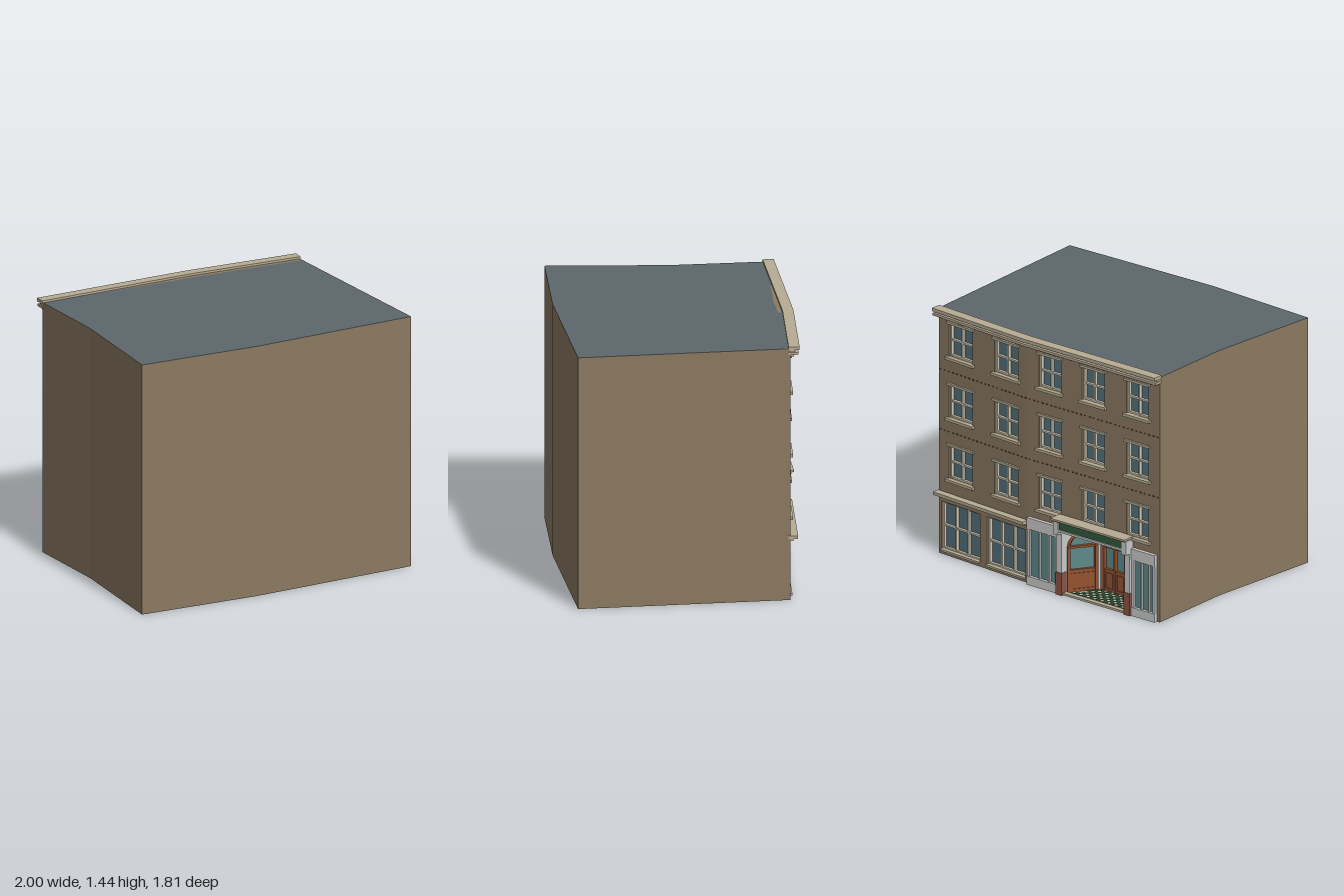
import * as THREE from 'three';

const mat = (color) => new THREE.MeshStandardMaterial({ color, side: THREE.DoubleSide });
const M = {
  brick: mat(0x8c7a62), roof: mat(0x5c676c), stone: mat(0xb8ad94), cream: mat(0xd2c9b4), grey: mat(0xcccccc),
  glass: mat(0x54727c), teal: mat(0x5f8a8a), wood: mat(0x96532f), red: mat(0x8a5546), green: mat(0x2f5a3c), dark: mat(0x4a4036),
};

function add(parent, name, geo, material, x = 0, y = 0, z = 0) {
  const m = new THREE.Mesh(geo, material);
  m.name = name;
  m.position.set(x, y, z);
  parent.add(m);
  return m;
}
// box given by its limits
const slab = (p, name, m, x0, x1, y0, y1, z0, z1) =>
  add(p, name, new THREE.BoxGeometry(x1 - x0, y1 - y0, z1 - z0), m, (x0 + x1) / 2, (y0 + y1) / 2, (z0 + z1) / 2);

// group running from p to q in plan: local x along the wall, local z outward
function wallFrame(parent, name, p, q) {
  const g = new THREE.Group();
  g.name = name;
  g.position.set(p[0], 0, p[1]);
  g.rotation.y = Math.atan2(-(q[1] - p[1]), q[0] - p[0]);
  parent.add(g);
  return [g, Math.hypot(q[0] - p[0], q[1] - p[1])];
}
const poly = (pts) => new THREE.Shape(pts.map(([x, y]) => new THREE.Vector2(x, y)));
const rect = (x0, x1, y0, y1) => poly([[x0, y0], [x1, y0], [x1, y1], [x0, y1]]);
const extrude = (shape, depth) =>
  new THREE.ExtrudeGeometry(shape, { depth, bevelEnabled: false, curveSegments: 12 }).translate(0, 0, -depth);

const H = 1.425, T = 0.035;
const D = [0.97, -0.17], E = [0.39, -0.48], F = [-0.45, -0.86];
const REST = [F, [-0.66, -0.39], [-1, 0.2], [-0.38, 0.52], [-0.12, 0.63], [0.52, 0.9], D];
const ROWS = [[0.435, 0.657], [0.79, 1.01], [1.145, 1.367]];

// glazing bars and glass inside an opening
function glazing(g, x0, x1, y0, y1, cols, rows) {
  slab(g, 'glass', M.glass, x0, x1, y0, y1, -0.034, -0.03);
  const b = 0.005;
  for (let i = 0; i <= cols; i++) {
    const x = x0 + b + (x1 - x0 - 2 * b) * i / cols;
    slab(g, 'glazingBar', M.cream, x - b, x + b, y0, y1, -0.03, -0.012);
  }
  for (let j = 0; j <= rows; j++) {
    const y = y0 + b + (y1 - y0 - 2 * b) * j / rows;
    slab(g, 'glazingBar', M.cream, x0, x1, y - b, y + b, -0.03, -0.014);
  }
}

// sash window with lintel and sill; returns the opening
function sash(parent, c, w, [y0, y1]) {
  const g = new THREE.Group();
  g.name = 'window';
  parent.add(g);
  const o = [c - w / 2, c + w / 2, y0 + 0.016, y1 - 0.014];
  glazing(g, ...o, 2, 2);
  slab(g, 'sill', M.stone, o[0] - 0.015, o[1] + 0.015, y0, y0 + 0.016, -0.02, 0.018);
  slab(g, 'lintel', M.stone, o[0] - 0.01, o[1] + 0.01, y1 - 0.014, y1, -0.02, 0.012);
  return rect(...o);
}

// cornice and brick dentil courses shared by both facade parts
function courses(g, L) {
  slab(g, 'topCornice', M.stone, -0.005, L + 0.005, 1.418, 1.437, -0.01, 0.05);
  slab(g, 'lowerCornice', M.stone, -0.005, L + 0.005, 1.392, 1.406, -0.01, 0.044);
  slab(g, 'cornicePanel', M.stone, 0, L, 1.406, 1.418, -0.01, 0.025);
  const n = Math.round(L / 0.03);
  for (let i = 0; i < n; i++) {
    const x = (i + 0.5) * L / n;
    slab(g, 'dentil', M.stone, x - 0.007, x + 0.007, 1.378, 1.392, 0, 0.02);
    for (const y of [0.72, 1.07]) slab(g, 'brickDentil', M.dark, x - 0.006, x + 0.006, y, y + 0.006, 0, 0.003);
  }
}

// narrow glazed shopfront panel
function sidePanel(parent, x0, x1) {
  const g = new THREE.Group();
  g.name = 'sideShopfront';
  parent.add(g);
  slab(g, 'panelGlass', M.teal, x0, x1, 0.05, 0.33, 0, 0.004);
  slab(g, 'panelHeader', M.grey, x0, x1, 0.325, 0.39, 0, 0.022);
  slab(g, 'panelBase', M.grey, x0, x1, 0, 0.05, 0, 0.022);
  for (const [x, w] of [[x0, 0.018], [x1 - 0.018, 0.018], [x0 * 0.62 + x1 * 0.38, 0.008], [x0 * 0.3 + x1 * 0.7, 0.008]])
    slab(g, 'panelStile', M.grey, x, x + w, 0.04, 0.33, 0, 0.018);
}

// arched timber screen for the porch
function archScreen(g, L, leaves) {
  const c = L / 2, r = L / 2 - 0.024, spring = 0.345 - r;
  const s = rect(0, L, 0, 0.39);
  const hole = new THREE.Path();
  hole.moveTo(c - r, 0.13);
  hole.lineTo(c + r, 0.13);
  hole.lineTo(c + r, spring);
  hole.absarc(c, spring, r, 0, Math.PI, false);
  hole.closePath();
  s.holes.push(hole);
  add(g, 'archSurround', extrude(s, 0.015), M.grey);
  slab(g, 'doorGlass', M.teal, 0.01, L - 0.01, 0.12, 0.36, -0.014, -0.01);
  const arch = add(g, 'archMoulding', new THREE.TorusGeometry(r, 0.009, 4, 20, Math.PI), M.wood, c, spring, 0.003);
  arch.scale.z = 0.8;
  for (const x of [c - r, c + r]) slab(g, 'doorPost', M.wood, x - 0.009, x + 0.009, 0, spring, -0.01, 0.01);
  slab(g, 'transom', M.wood, c - r, c + r, spring - 0.006, spring + 0.006, -0.01, 0.008);
  slab(g, 'doorPanel', M.wood, c - r, c + r, 0, 0.135, -0.01, 0.005);
  const w = 2 * r / leaves;
  for (let i = 0; i < leaves; i++) {
    const x = c - r + i * w;
    if (i) slab(g, 'meetingStile', M.wood, x - 0.006, x + 0.006, 0, spring, -0.01, 0.009);
    for (const [a, b] of [[x + 0.012, x + 0.018], [x + w - 0.018, x + w - 0.012]])
      slab(g, 'panelBead', M.red, a, b, 0.025, 0.115, 0, 0.009);
    for (const y of [0.02, 0.11]) slab(g, 'panelBead', M.red, x + 0.012, x + w - 0.012, y, y + 0.006, 0, 0.009);
  }
}

// recessed entrance with tiled floor, piers and canopy
function entrance(parent) {
  const g = new THREE.Group();
  g.name = 'entrance';
  parent.add(g);
  const plan = [[0.255, 0], [0.37, -0.17], [0.575, -0.17], [0.70, 0]];
  for (let i = 0; i < 3; i++) {
    const [f, L] = wallFrame(g, 'porchScreen', plan[i], plan[i + 1]);
    archScreen(f, L, i === 1 ? 2 : 1);
  }
  const flat = new THREE.ShapeGeometry(poly(plan.map(([x, z]) => [x, -z]))).rotateX(-Math.PI / 2);
  add(g, 'porchFloor', flat, M.cream, 0, 0.006, 0);
  add(g, 'porchCeiling', flat, M.grey, 0, 0.388, 0);
  // checkered tiles that fit inside the tapered floor
  const t = 0.0245;
  for (let j = 0; j < 7; j++) for (let i = 0; i < 18; i++) {
    const x = 0.2575 + (i + 0.5) * t, d = (j + 0.5) * t;
    const inside = x - t / 2 > 0.25 + 0.676 * d && x + t / 2 < 0.705 - 0.735 * d;
    if (inside && (i + j) % 2) slab(g, 'floorTile', M.green, x - t / 2, x + t / 2, 0.003, 0.009, -d - t / 2, -d + t / 2);
  }
  slab(g, 'threshold', M.stone, 0.255, 0.70, 0, 0.012, -0.01, 0.02);
  for (const x of [0.225, 0.70]) {
    slab(g, 'pier', M.grey, x, x + 0.035, 0.13, 0.39, -0.03, 0.03);
    slab(g, 'pierBase', M.red, x - 0.002, x + 0.037, 0, 0.13, -0.03, 0.034);
    slab(g, 'bracket', M.grey, x, x + 0.035, 0.36, 0.44, 0, 0.06);
  }
  slab(g, 'signBand', M.green, 0.26, 0.70, 0.39, 0.435, 0, 0.05);
  slab(g, 'signMoulding', M.grey, 0.25, 0.71, 0.378, 0.39, -0.02, 0.058);
  slab(g, 'canopyTop', M.grey, 0.228, 0.732, 0.437, 0.446, 0, 0.068);
  slab(g, 'canopyTop', M.stone, 0.222, 0.738, 0.446, 0.457, 0, 0.08);
}

export function createModel() {
  const model = new THREE.Group();
  model.name = 'cornerBuilding';

  // blank outer walls and flat roof
  for (let i = 0; i < REST.length - 1; i++) {
    const [g, L] = wallFrame(model, 'blankWall', REST[i], REST[i + 1]);
    add(g, 'wall', new THREE.PlaneGeometry(L, H), M.brick, L / 2, H / 2, 0);
  }
  const outline = poly([E, ...REST].map(([x, z]) => [x, -z]).concat([[D[0], -D[1]]]).slice(0, -1));
  add(model, 'roof', new THREE.ShapeGeometry(outline).rotateX(-Math.PI / 2), M.roof, 0, H, 0);

  // facade part with two bays over shop windows
  const [a, LA] = wallFrame(model, 'shopFacade', D, E);
  const wallA = rect(0, LA, 0, H);
  for (const c of [0.245, 0.76]) {
    for (const row of ROWS) wallA.holes.push(sash(a, c * LA, 0.175, row));
    const o = [c * LA - 0.142, c * LA + 0.142, 0.028, 0.305];
    wallA.holes.push(rect(...o));
    glazing(a, ...o, 3, 2);
    slab(a, 'shopSill', M.stone, o[0], o[1], 0.018, 0.03, -0.02, 0.012);
  }
  add(a, 'facadeWall', extrude(wallA, T), M.brick);
  slab(a, 'shopCornice', M.stone, -0.005, LA, 0.347, 0.365, -0.01, 0.042);
  slab(a, 'shopFascia', M.stone, 0, LA, 0.335, 0.347, -0.01, 0.018);
  courses(a, LA);

  // facade part with three bays over the entrance
  const [b, LB] = wallFrame(model, 'entranceFacade', E, F);
  const wallB = poly([[0, 0], [0.255, 0], [0.255, 0.39], [0.70, 0.39], [0.70, 0], [LB, 0], [LB, H], [0, H]]);
  for (const c of [0.168, 0.496, 0.832])
    for (const row of ROWS) wallB.holes.push(sash(b, c * LB, 0.155, row));
  add(b, 'facadeWall', extrude(wallB, T), M.brick);
  sidePanel(b, 0.008, 0.222);
  sidePanel(b, 0.738, LB - 0.02);
  entrance(b);
  courses(b, LB);

  return model;
}
